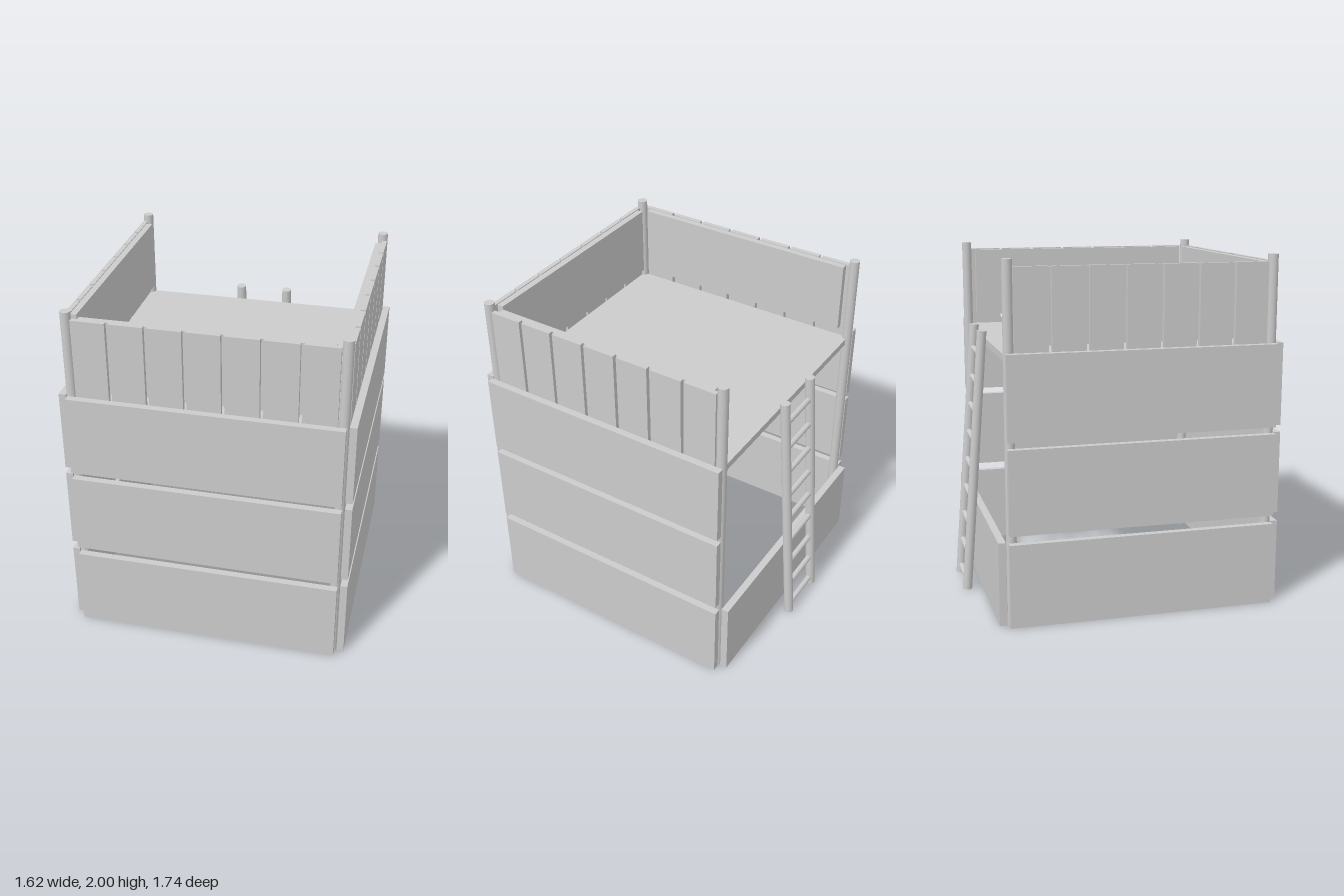
import * as THREE from 'three';

const mat = new THREE.MeshStandardMaterial({ color: 0xcccccc });

export function createModel() {
  const model = new THREE.Group();

  const group = (name) => {
    const g = new THREE.Group();
    g.name = name;
    model.add(g);
    return g;
  };

  // box given by its min and max along each axis
  const box = (parent, name, [x0, x1], [y0, y1], [z0, z1]) => {
    const m = new THREE.Mesh(new THREE.BoxGeometry(x1 - x0, y1 - y0, z1 - z0), mat);
    m.position.set((x0 + x1) / 2, (y0 + y1) / 2, (z0 + z1) / 2);
    m.name = name;
    parent.add(m);
  };

  // round pole between two points
  const pole = (parent, name, a, b, r) => {
    const from = new THREE.Vector3(...a), to = new THREE.Vector3(...b);
    const dir = to.clone().sub(from);
    const m = new THREE.Mesh(new THREE.CylinderGeometry(r, r, dir.length(), 24), mat);
    m.position.copy(from).add(to).multiplyScalar(0.5);
    m.quaternion.setFromUnitVectors(new THREE.Vector3(0, 1, 0), dir.normalize());
    m.name = name;
    parent.add(m);
  };

  // corner posts
  const posts = group('cornerPosts');
  for (const x of [-0.74, 0.74])
    for (const z of [-0.677, 0.8]) pole(posts, 'post', [x, 0, z], [x, 2, z], 0.029);

  // raised deck
  box(model, 'deck', [-0.74, 0.74], [1.44, 1.48], [-0.68, 0.8]);

  // wide wall boards: three rows on the front and sides, one on the back
  const walls = group('wallBoards');
  const rows = [[0, 0.475], [0.525, 1.0], [1.04, 1.51]];
  for (const row of rows) {
    box(walls, 'frontBoard', [-0.757, 0.757], row, [0.83, 0.87]);
    box(walls, 'leftBoard', [0.77, 0.81], row, [-0.7, 0.82]);
    box(walls, 'rightBoard', [-0.81, -0.77], row, [-0.7, 0.82]);
  }
  box(walls, 'backBoard', [-0.757, 0.757], rows[0], [-0.752, -0.71]);

  // upright railing planks, seven to a side
  const planks = group('railingPlanks');
  const pitch = 0.205, half = 0.0935, height = [1.46, 1.96];
  for (let i = -3; i <= 3; i++) {
    const c = i * pitch, z = c + 0.057;
    box(planks, 'frontPlank', [c - half, c + half], height, [0.8, 0.827]);
    box(planks, 'leftPlank', [0.74, 0.768], height, [z - half, z + half]);
    box(planks, 'rightPlank', [-0.768, -0.74], height, [z - half, z + half]);
  }

  // solid panels lining the railing, raised a little off the deck
  const panels = group('innerPanels');
  const panelHeight = [1.54, 1.955];
  box(panels, 'frontPanel', [-0.68, 0.68], panelHeight, [0.762, 0.8]);
  box(panels, 'leftPanel', [0.703, 0.74], panelHeight, [-0.625, 0.74]);
  box(panels, 'rightPanel', [-0.74, -0.703], panelHeight, [-0.625, 0.74]);

  // ladder leaning on the open back
  const ladder = group('ladder');
  const zAt = (y) => -0.845 + (y / 1.55) * 0.12;
  for (const x of [-0.147, 0.147])
    pole(ladder, 'ladderRail', [x, 0.002, zAt(0)], [x, 1.55, zAt(1.55)], 0.028);
  for (let i = 0; i < 9; i++) {
    const y = 0.05 + i * 0.17;
    pole(ladder, 'rung', [-0.147, y, zAt(y)], [0.147, y, zAt(y)], 0.017);
  }

  return model;
}
